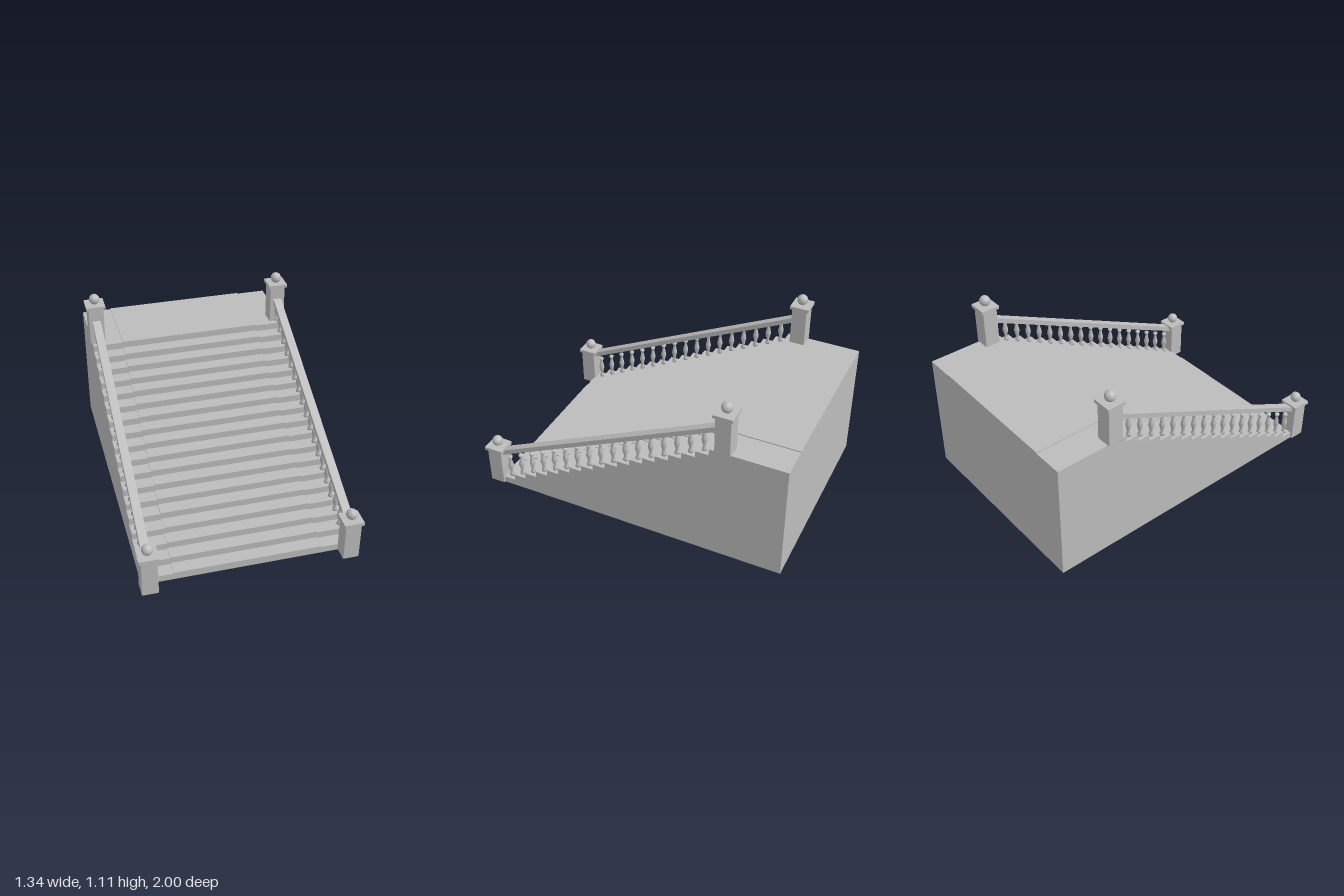
import * as THREE from 'three';
import { RoundedBoxGeometry } from 'three/addons/geometries/RoundedBoxGeometry.js';

const STEPS = 18, RISE = 0.0432, RUN = 0.084, FRONT = 0.9, BACK = -1;
const RAIL_X = 0.609;

// Extrudes a (z, y) outline across x, between x0 and x1
function extrudeAcross(points, x0, x1) {
  const shape = new THREE.Shape(points.map(([z, y]) => new THREE.Vector2(z, y)));
  const geo = new THREE.ExtrudeGeometry(shape, { depth: x1 - x0, bevelEnabled: false });
  geo.rotateY(-Math.PI / 2);
  geo.translate(x1, 0, 0);
  return geo;
}

// Stepped side outline, with treads lifted by a small amount
function stairOutline(lift) {
  const pts = [[BACK, 0], [FRONT, 0]];
  for (let i = 0; i < STEPS; i++) {
    const z = FRONT - i * RUN, y = (i + 1) * RISE + lift;
    pts.push([z, y], [i < STEPS - 1 ? z - RUN : BACK, y]);
  }
  return pts;
}

export function createModel() {
  const model = new THREE.Group();
  model.name = 'staircase';
  const stone = new THREE.MeshStandardMaterial({ color: 0xbcbcbc });
  stone.name = 'grey stone';

  const add = (parent, name, geo, x = 0, y = 0, z = 0) => {
    const mesh = new THREE.Mesh(geo, stone);
    mesh.name = name;
    mesh.position.set(x, y, z);
    parent.add(mesh);
    return mesh;
  };

  // Steps and landing: a slightly raised centre between two side strips
  add(model, 'centreSteps', extrudeAcross(stairOutline(0.006), -0.453, 0.453));
  add(model, 'leftSteps', extrudeAcross(stairOutline(0), 0.453, 0.645));
  add(model, 'rightSteps', extrudeAcross(stairOutline(0), -0.645, -0.453));

  // Shared geometries
  const postGeo = new RoundedBoxGeometry(0.1, 0.25, 0.098, 2, 0.004);
  const capGeo = new THREE.BoxGeometry(0.122, 0.021, 0.121);
  const ballGeo = new THREE.SphereGeometry(0.034, 16, 12);
  const railGeo = extrudeAcross(
    [[0.9, 0.214], [0.9, 0.248], [-0.57, 0.943], [-0.57, 0.909]], -0.026, 0.026);
  const balusterGeo = new THREE.LatheGeometry([
    [0, 0], [0.015, 0], [0.015, 0.012], [0.009, 0.022], [0.01, 0.04], [0.018, 0.075],
    [0.016, 0.09], [0.009, 0.125], [0.009, 0.135], [0.015, 0.145], [0.015, 0.157], [0, 0.157],
  ].map(([r, y]) => new THREE.Vector2(r, y)), 10);

  // Newel post with cap and ball
  const addPost = (parent, name, x, y, z) => {
    const post = new THREE.Group();
    post.name = name;
    post.position.set(x, y, z);
    add(post, 'shaft', postGeo, 0, 0.125, 0);
    add(post, 'cap', capGeo, 0, 0.2585, 0);
    add(post, 'ball', ballGeo, 0, 0.3, 0);
    parent.add(post);
  };

  // Balustrade on each side
  for (const side of [1, -1]) {
    const balustrade = new THREE.Group();
    balustrade.name = side > 0 ? 'leftBalustrade' : 'rightBalustrade';
    const x = side * RAIL_X;
    addPost(balustrade, 'lowerPost', x, 0, 0.94);
    addPost(balustrade, 'upperPost', x, STEPS * RISE - 0.002, -0.613);
    add(balustrade, 'handrail', railGeo, x);
    for (let i = 0; i < STEPS; i++) {
      add(balustrade, 'baluster', balusterGeo, x, (i + 1) * RISE, FRONT - (i + 0.5) * RUN);
    }
    model.add(balustrade);
  }
  return model;
}
